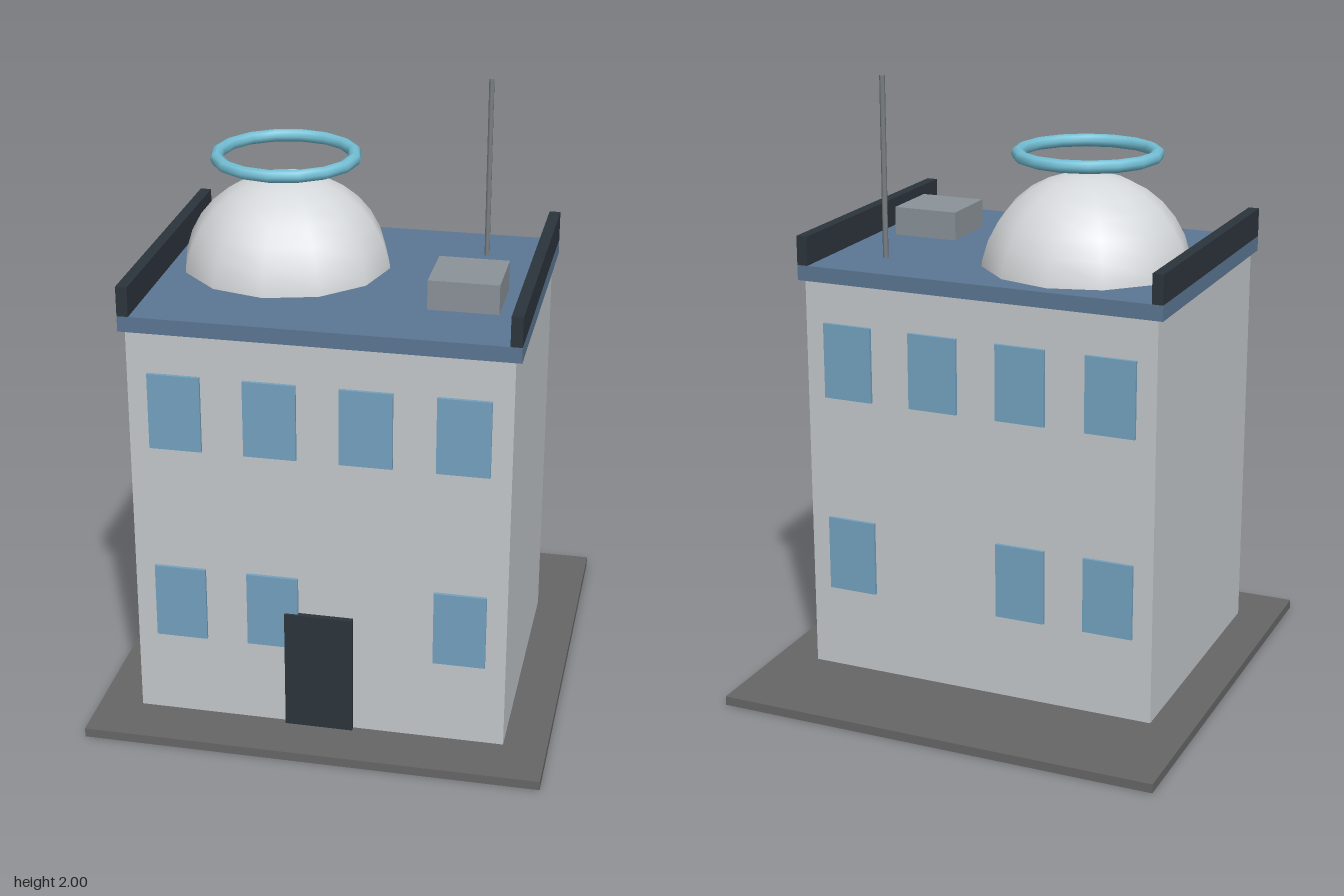
import * as THREE from 'three';

const mat = (name, color) => {
  const m = new THREE.MeshStandardMaterial({ color });
  m.name = name;
  return m;
};

export function createModel() {
  const model = new THREE.Group();
  model.name = 'building';
  const wall = mat('pale wall', 0xc4c8cb);
  const slate = mat('slate blue roof', 0x5b7693);
  const dark = mat('dark trim', 0x2c353c);
  const glass = mat('window blue', 0x74a2c0);
  const paving = mat('paving grey', 0x666666);
  const domeWhite = mat('dome white', 0xd6d9db);
  const cyan = mat('ring cyan', 0x74c0d6);
  const metal = mat('metal grey', 0x8a9298);
  const mastGrey = mat('mast grey', 0x7c8184);

  const add = (name, geometry, material, x, y, z) => {
    const mesh = new THREE.Mesh(geometry, material);
    mesh.name = name;
    mesh.position.set(x, y, z);
    model.add(mesh);
    return mesh;
  };
  // Box given by its limits on each axis
  const box = (name, material, [x0, x1], [y0, y1], [z0, z1]) =>
    add(name, new THREE.BoxGeometry(x1 - x0, y1 - y0, z1 - z0), material,
      (x0 + x1) / 2, (y0 + y1) / 2, (z0 + z1) / 2);

  // Ground slab, walls and roof
  box('groundSlab', paving, [-0.738, 0.738], [0, 0.03], [-0.738, 0.738]);
  box('walls', wall, [-0.598, 0.598], [0.03, 1.36], [-0.37, 0.557]);
  box('roofSlab', slate, [-0.617, 0.617], [1.36, 1.41], [-0.385, 0.572]);
  for (const [name, s] of [['leftParapet', 1], ['rightParapet', -1]]) {
    const x = s * 0.599;
    box(name, dark, [x - 0.018, x + 0.018], [1.41, 1.505], [-0.385, 0.572]);
  }

  // Door
  box('door', dark, [-0.11, 0.11], [0.03, 0.435], [0.55, 0.576]);

  // Windows, same layout front and back, with one gap on the lower floor
  const faces = [['front', [0.55, 0.568]], ['back', [-0.381, -0.36]]];
  for (const [side, zs] of faces) {
    for (const [floor, y] of [['Lower', 0.31], ['Upper', 0.975]]) {
      for (let i = 0; i < 4; i++) {
        if (floor === 'Lower' && i === 2) continue;
        const x = -0.45 + 0.3 * i;
        box(`${side}${floor}Window${i + 1}`, glass, [x - 0.083, x + 0.083], [y, y + 0.25], zs);
      }
    }
  }

  // Dome sunk slightly into the roof, with a floating ring
  add('dome', new THREE.SphereGeometry(0.343, 12, 8, 0, Math.PI * 2, 0, Math.PI / 2),
    domeWhite, -0.222, 1.362, 0);
  const ring = add('ring', new THREE.TorusGeometry(0.221, 0.021, 8, 16), cyan, -0.222, 1.766, 0);
  ring.rotation.x = Math.PI / 2;

  // Roof unit and mast
  box('roofUnit', metal, [0.293, 0.515], [1.41, 1.505], [0.11, 0.33]);
  add('mast', new THREE.CylinderGeometry(0.009, 0.009, 0.59, 6), mastGrey, 0.403, 1.705, -0.185);

  return model;
}
